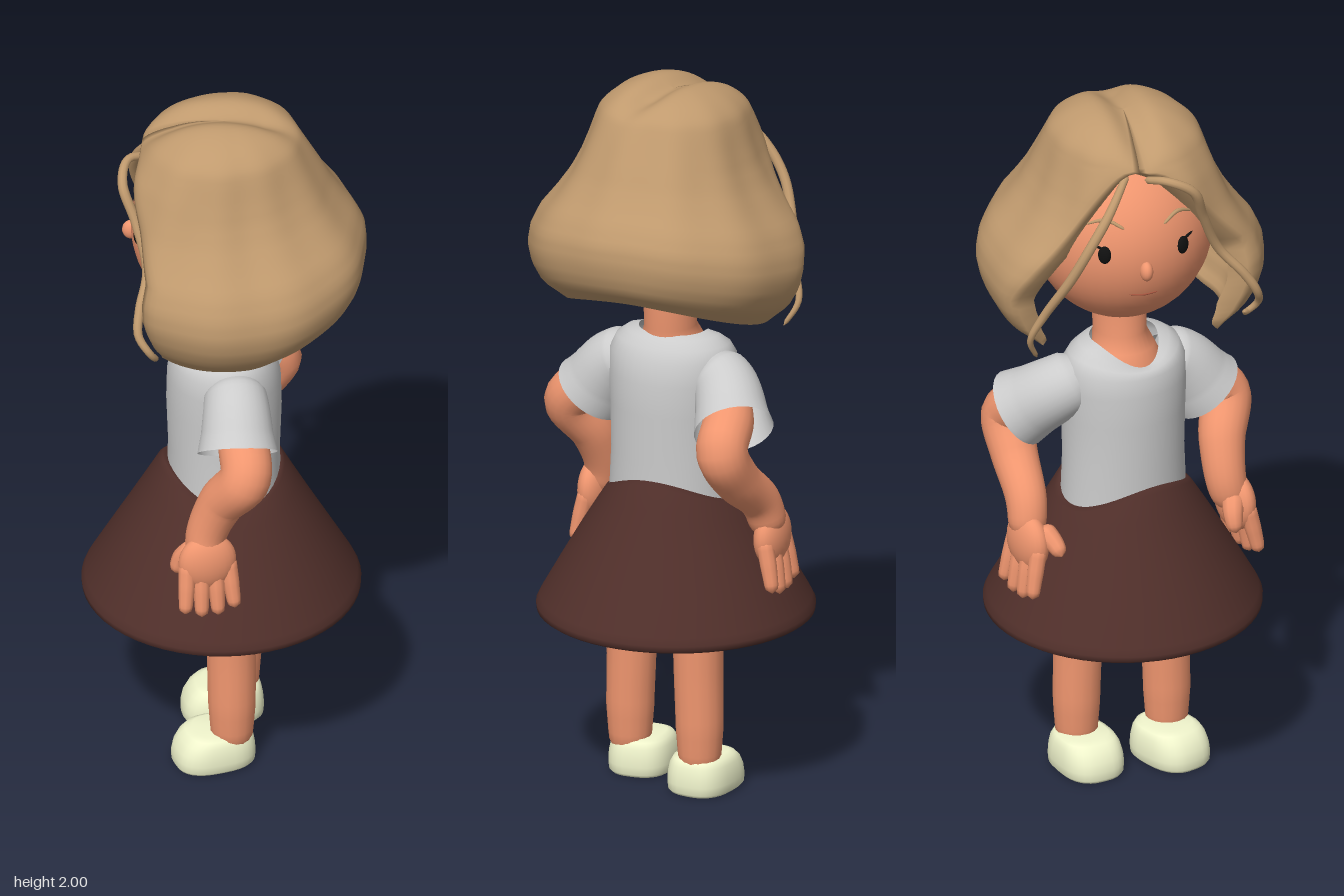
import * as THREE from 'three';

const mat = (color) => new THREE.MeshStandardMaterial({ color, roughness: 0.8, side: THREE.DoubleSide });
const V = (p) => new THREE.Vector3(...p);
const TAU = Math.PI * 2;
const clamp = THREE.MathUtils.clamp;

// Linear lookup in a list of equally spaced values.
function sample(list, t) {
  const f = clamp(t, 0, 1) * (list.length - 1);
  const i = Math.min(Math.floor(f), list.length - 2);
  return THREE.MathUtils.lerp(list[i], list[i + 1], f - i);
}

// Skin a stack of closed rings (arrays of [x, y, z]); caps are optional fans.
function loft(rings, capStart = false, capEnd = false) {
  const n = rings[0].length;
  const pos = rings.flat(2);
  const index = [];
  for (let i = 0; i < rings.length - 1; i++) {
    for (let j = 0; j < n; j++) {
      const a = i * n + j, b = i * n + (j + 1) % n;
      index.push(a, b, b + n, a, b + n, a + n);
    }
  }
  const cap = (ring, base, flip) => {
    const c = pos.length / 3;
    for (let k = 0; k < 3; k++) pos.push(ring.reduce((s, p) => s + p[k], 0) / n);
    for (let j = 0; j < n; j++) {
      const a = base + j, b = base + (j + 1) % n;
      index.push(...(flip ? [b, a, c] : [a, b, c]));
    }
  };
  if (capStart) cap(rings[0], 0, true);
  if (capEnd) cap(rings.at(-1), (rings.length - 1) * n, false);
  const g = new THREE.BufferGeometry();
  g.setAttribute('position', new THREE.Float32BufferAttribute(pos, 3));
  g.setIndex(index);
  g.computeVertexNormals();
  return g;
}

// Horizontal ring; point(a) gives the position for an angle measured from the front.
const ring = (n, point) => Array.from({ length: n }, (_, j) => point(j / n * TAU));

// Tapered tube along a smooth path, with rounded or open ends.
function limb(points, radii, { steps = 24, sides = 16, round = true } = {}) {
  const curve = new THREE.CatmullRomCurve3(points.map(V));
  const { normals, binormals } = curve.computeFrenetFrames(steps, false);
  const length = curve.getLength();
  const rings = [];
  for (let i = 0; i <= steps; i++) {
    const t = i / steps, c = curve.getPointAt(t);
    let r = sample(radii, t);
    if (round) {
      const e = Math.min(1, Math.min(t, 1 - t) * length / r);
      r *= Math.max(0.15, Math.sqrt(1 - (1 - e) ** 2));
    }
    rings.push(ring(sides, (a) => c.clone()
      .addScaledVector(normals[i], Math.cos(a) * r)
      .addScaledVector(binormals[i], Math.sin(a) * r).toArray()));
  }
  return loft(rings, round, round);
}

// Bob haircut: C-shaped sections around the head that part at the face.
function hairGeometry() {
  const side = [0.28, 0.345, 0.376, 0.387, 0.378, 0.352, 0.308, 0.27, 0.242, 0.222, 0.205, 0.185, 0.17];
  const back = [0.29, 0.355, 0.374, 0.381, 0.376, 0.352, 0.318, 0.288, 0.264, 0.238, 0.212, 0.185, 0.17];
  const front = [0.25, 0.295, 0.325, 0.345, 0.35, 0.34, 0.32, 0.298, 0.28, 0.258, 0.226, 0.19, 0.17];
  const rows = 48, cols = 80, rings = [];
  for (let i = 0; i <= rows; i++) {
    const v = Math.sin(i / rows * Math.PI / 2) ** 1.15;
    const yRef = 1.36 + 0.64 * v;
    // The face opening spreads faster towards the left cheek than the right one.
    const spread = (drop) => clamp((1.9 - yRef) / drop, 0, 1) ** 0.58;
    const from = -0.4 + 1.05 * spread(0.27), to = TAU - 0.4 - 1.08 * spread(0.38);
    const u = clamp((v - 0.86) / 0.14, 0, 1);
    const dome = Math.sqrt(1 - u * u);
    const place = (phi, inset) => {
      const s = Math.sin(phi), c = Math.cos(phi);
      const rz = sample(c > 0 ? front : back, v), rx = sample(side, v);
      let r = dome * (Math.abs(s / rx) ** 2.2 + Math.abs(c / rz) ** 2.2) ** (-1 / 2.2);
      r += 0.004 * Math.sin(phi * 11) * Math.sin(v * Math.PI);
      r = Math.max(0, r - inset);
      const hem = 1.35 + 0.1 * Math.max(0, -c) ** 1.5;
      const x = r * s, z = r * c;
      const groove = Math.exp(-(((x + 0.3 * z + 0.005) / 0.045) ** 2));
      const y = hem + (2.01 - hem) * v - inset * 0.6 * v
        - 0.034 * groove * clamp((v - 0.75) / 0.2, 0, 1) * clamp((z + 0.25) / 0.15, 0, 1);
      return [x, y, z];
    };
    const thick = 0.075 * Math.sqrt(clamp(v * 7, 0, 1));
    const angle = (j) => from + (to - from) * j / cols;
    // Front edges are softened by pulling them in.
    const soften = (j) => 0.25 * thick * Math.max(0, 1 - Math.min(j, cols - j) / 3) ** 2 * spread(0.3);
    const loop = [];
    for (let j = 0; j <= cols; j++) loop.push(place(angle(j), soften(j)));
    for (let j = cols; j >= 0; j--) loop.push(place(angle(j), thick));
    rings.push(loop);
  }
  return loft(rings);
}

export function createModel() {
  const model = new THREE.Group();
  const body = new THREE.Group();
  body.name = 'girl';
  body.rotation.y = -Math.PI / 2; // the figure looks towards -x
  model.add(body);

  const skin = mat(0xf0966f), hair = mat(0xc09a6e), cloth = mat(0xcccccc);
  const brown = mat(0x502f2a), cream = mat(0xf0f4cc), black = mat(0x111111);
  const add = (name, geometry, material, parent = body) => {
    const m = new THREE.Mesh(geometry, material);
    m.name = name;
    parent.add(m);
    return m;
  };

  // Shirt with scooped neckline: [y, half width, half depth, front drop]
  const shirt = [[0.78, 0.18, 0.152, 0], [0.95, 0.172, 0.15, 0], [1.08, 0.174, 0.155, 0],
    [1.17, 0.18, 0.152, 0], [1.23, 0.178, 0.14, 0.01], [1.265, 0.16, 0.12, 0.03],
    [1.287, 0.13, 0.1, 0.05], [1.297, 0.095, 0.085, 0.06]];
  add('shirt', loft(shirt.map(([y, rx, rz, drop]) => ring(40, (a) => [
    rx * Math.sin(a), y - drop * Math.max(0, Math.cos(a)) ** 2,
    (rz + drop * 0.35 * Math.max(0, Math.cos(a))) * Math.cos(a)]))), cloth);

  // Neck and upper chest
  const neck = [[1.15, 0.12, 0.12], [1.22, 0.11, 0.098], [1.27, 0.085, 0.085],
    [1.31, 0.07, 0.078], [1.45, 0.075, 0.08]];
  add('neck', loft(neck.map(([y, rx, rz]) => ring(28, (a) => [
    rx * Math.sin(a), y, rz * Math.cos(a) - (y > 1.3 ? 0.018 : 0)]))), skin);

  // Skirt: wavy waist, rounded rim, closed underneath
  const skirt = [[0.492, 0.355, 0], [0.485, 0.367, 0], [0.492, 0.377, 0], [0.507, 0.378, 0],
    [0.527, 0.368, 0], [0.62, 0.316, 0.1], [0.72, 0.258, 0.35], [0.785, 0.218, 0.7], [0.825, 0.192, 0.95], [0.834, 0.179, 1], [0.826, 0.16, 1]];
  const skirtMesh = add('skirt', loft(skirt.map(([y, r, wave]) => ring(56, (a) => [
    r * Math.sin(a), y + 0.064 * wave * Math.cos(a) ** 2,
    r * (1 - 0.12 * wave) * Math.cos(a)])), true), brown);
  skirtMesh.position.set(-0.005, 0, 0.006);

  // Legs and shoes: ankle [x, z], shoe centre and outward turn
  const feet = [
    { name: 'left', x: 0.13, z: 0.012, sx: 0.113, sz: 0.058, turn: 0.1 },
    { name: 'right', x: -0.105, z: -0.065, sx: -0.107, sz: -0.022, turn: -0.1 }];
  for (const f of feet) {
    add(f.name + 'Leg', limb([[f.x, 0.62, f.z], [f.x, 0.35, f.z], [f.x * 1.03, 0.2, f.z], [f.x * 1.03, 0.04, f.z]],
      [0.07, 0.07, 0.067, 0.065, 0.054]), skin);
    const shoe = [[0, 0.9, 0.96], [0.008, 0.98, 1], [0.03, 1, 1], [0.055, 0.98, 0.95],
      [0.08, 0.92, 0.82], [0.096, 0.82, 0.66], [0.103, 0.65, 0.48]];
    const m = add(f.name + 'Shoe', loft(shoe.map(([y, wx, toe]) => ring(32, (a) => {
      const s = Math.sin(a), c = Math.cos(a);
      const x = Math.sign(s) * Math.abs(s) ** 0.75, z = Math.sign(c) * Math.abs(c) ** 0.75;
      return [0.09 * wx * x, y, 0.112 * z * (z > 0 ? toe : 0.3 + 0.7 * wx)];
    })), true, true), cream);
    m.position.set(f.sx, 0, f.sz);
    m.rotation.y = f.turn;
  }

  // Arms with sleeves and hands; the right one rests on the hip with its elbow back
  const arms = [
    { name: 'left', side: 1, sleeve: [[0.1, 1.205, 0], [0.175, 1.165, 0.01], [0.25, 1.07, 0.025]],
      path: [[0.16, 1.18, 0], [0.25, 1.1, 0.01], [0.318, 1.03, 0.02], [0.272, 0.93, 0.075], [0.258, 0.82, 0.115], [0.282, 0.74, 0.12]],
      palm: [0.285, 0.755, 0.118], thumb: [[0.265, 0.79, 0.14], [0.24, 0.75, 0.175], [0.235, 0.7, 0.195]] },
    { name: 'right', side: -1, sleeve: [[-0.1, 1.205, -0.01], [-0.175, 1.165, -0.045], [-0.245, 1.08, -0.14]],
      path: [[-0.15, 1.18, -0.02], [-0.22, 1.1, -0.12], [-0.24, 1.035, -0.205], [-0.255, 0.945, -0.15], [-0.283, 0.85, -0.05], [-0.3, 0.75, -0.02]],
      palm: [-0.302, 0.745, -0.015], thumb: [[-0.28, 0.79, 0.01], [-0.265, 0.755, 0.06], [-0.262, 0.73, 0.09]] }];
  for (const arm of arms) {
    add(arm.name + 'Sleeve', limb(arm.sleeve, [0.05, 0.085, 0.092, 0.098, 0.109], { sides: 28, round: false }), cloth);
    add(arm.name + 'Arm', limb(arm.path, [0.062, 0.066, 0.07, 0.07, 0.066, 0.06, 0.055, 0.05], { steps: 40, sides: 20 }), skin);
    const hand = new THREE.Group();
    hand.name = arm.name + 'Hand';
    body.add(hand);
    const [px, py, pz] = arm.palm;
    const palm = add('palm', new THREE.SphereGeometry(1, 24, 16), skin, hand);
    palm.position.set(px, py, pz);
    palm.scale.set(0.043, 0.085, 0.08);
    for (let i = 0; i < 4; i++) {
      const k = i - 1.5, z = pz + k * 0.037, drop = 0.008 * k * k;
      add('finger', limb([[px, py + 0.01, z], [px + arm.side * 0.02, py - 0.08, z + k * 0.005],
        [px + arm.side * 0.032, py - 0.157 + drop, z + k * 0.009]], [0.024, 0.023, 0.018], { steps: 14, sides: 10 }), skin, hand);
    }
    add('thumb', limb(arm.thumb, [0.034, 0.028, 0.019], { steps: 12, sides: 10 }), skin, hand);
  }

  // Head, turned slightly to its right
  const head = new THREE.Group();
  head.name = 'head';
  head.position.set(-0.008, 1.64, 0);
  head.rotation.y = -0.32;
  body.add(head);
  add('face', new THREE.SphereGeometry(1, 40, 28), skin, head).scale.set(0.25, 0.265, 0.25);
  const onFace = (x, y, lift = 0) => [x, y,
    0.25 * Math.sqrt(1 - (x / 0.25) ** 2 - (y / 0.265) ** 2) + lift];
  for (const s of [-1, 1]) {
    const eye = add('eye', new THREE.SphereGeometry(1, 20, 14), black, head);
    eye.position.set(...onFace(s * 0.11, 0.022));
    eye.rotation.y = s * 0.45;
    eye.scale.set(0.018, 0.026, 0.01);
    add('eyelash', limb([onFace(s * 0.118, 0.042, 0.004), onFace(s * 0.142, 0.051, 0.006)], [0.005, 0.002], { steps: 6, sides: 6 }), black, head);
    add('eyebrow', limb([onFace(s * 0.055, 0.095, 0.001), onFace(s * 0.1, 0.116, 0.001), onFace(s * 0.15, 0.1, 0.001)],
      [0.004, 0.006, 0.003], { steps: 14, sides: 8 }), hair, head);
  }
  const nose = add('nose', new THREE.SphereGeometry(1, 18, 14), skin, head);
  nose.position.set(0, -0.03, 0.25);
  nose.scale.set(0.018, 0.028, 0.024);
  add('mouth', limb([onFace(-0.04, -0.108), onFace(0, -0.112), onFace(0.04, -0.108)],
    [0.002, 0.003, 0.002], { steps: 12, sides: 6 }), mat(0xa85640), head);

  // Hair and two loose strands framing the face
  add('hair', hairGeometry(), hair);
  add('rightStrand', limb([[-0.1, 1.88, 0.165], [-0.18, 1.79, 0.195], [-0.24, 1.7, 0.19], [-0.28, 1.6, 0.155],
    [-0.32, 1.48, 0.09], [-0.345, 1.4, 0.06], [-0.31, 1.33, 0.04]], [0.01, 0.014, 0.014, 0.012, 0.006], { steps: 48, sides: 10 }), hair);
  add('leftStrand', limb([[-0.06, 1.86, 0.19], [-0.03, 1.875, 0.26], [0.03, 1.84, 0.29], [0.08, 1.74, 0.265],
    [0.14, 1.62, 0.25], [0.2, 1.54, 0.285], [0.235, 1.48, 0.297], [0.255, 1.43, 0.27], [0.235, 1.4, 0.25], [0.212, 1.41, 0.268]],
    [0.01, 0.014, 0.013, 0.013, 0.008], { steps: 56, sides: 10 }), hair);

  return model;
}
